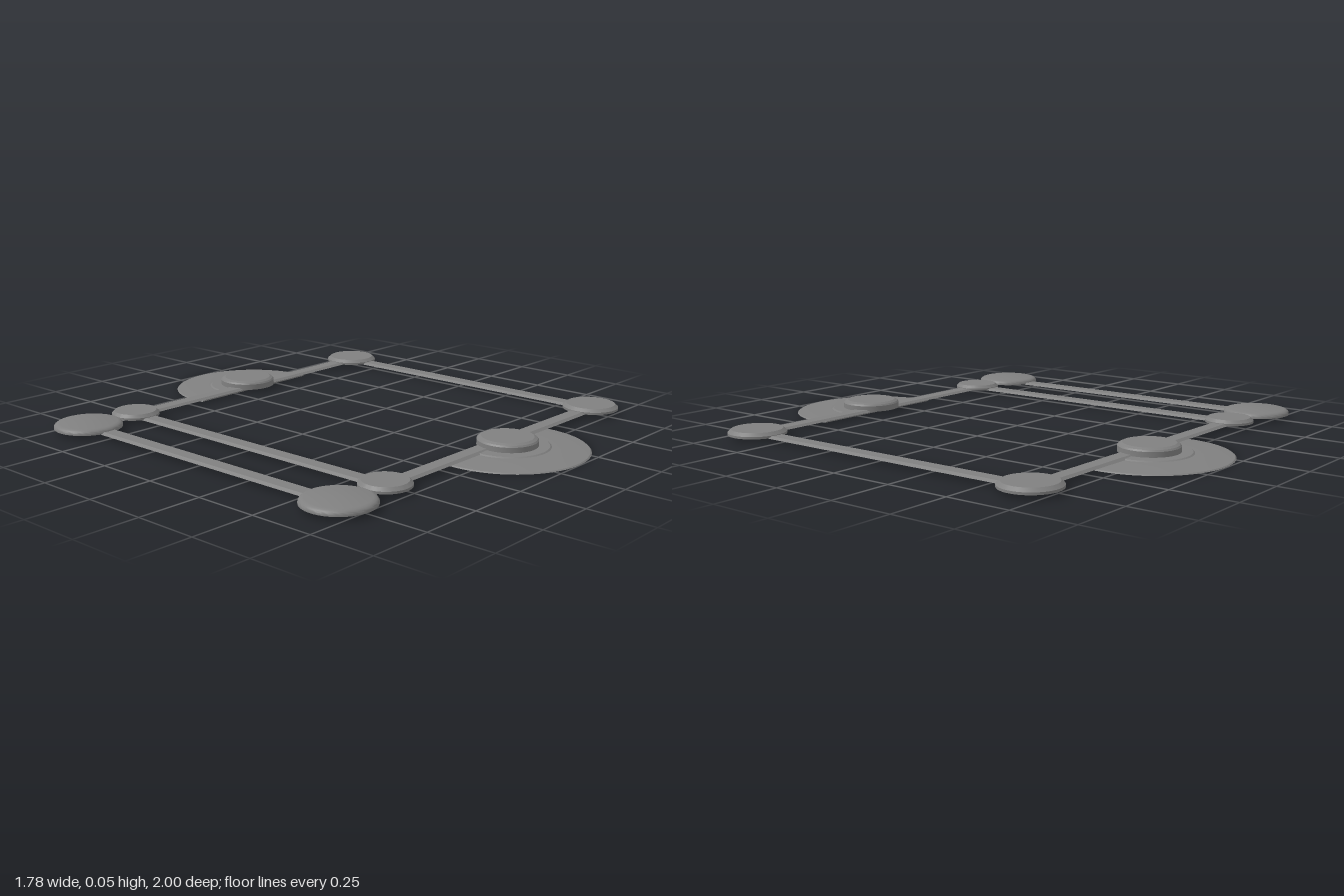
import * as THREE from 'three';
import { toCreasedNormals } from 'three/addons/utils/BufferGeometryUtils.js';

const steel = new THREE.MeshStandardMaterial({ color: 0x808080, side: THREE.DoubleSide });
steel.name = 'steel grey';

const LEFT = 0.778, RIGHT = -0.762, INNER = -0.53; // columns in x
const BACK = -0.66, FRONT = 0.65; // rows in z

// Turned open shell; profile runs from the lower rim up to the centre.
function turned(name, profile, x, z, crease = 0.25) {
  const lathe = new THREE.LatheGeometry(profile.map(([r, y]) => new THREE.Vector2(r, y)), 64);
  const mesh = new THREE.Mesh(toCreasedNormals(lathe, crease), steel);
  mesh.name = name;
  mesh.position.set(x, 0, z);
  return mesh;
}

// Bevelled channel bar, lying along x or z and open underneath.
function bar(name, length, x, z, alongZ) {
  const plane = new THREE.PlaneGeometry(0.074, length, 3, 1).rotateX(-Math.PI / 2);
  const p = plane.attributes.position;
  for (let i = 0; i < p.count; i++) {
    const outer = Math.abs(p.getX(i)) > 0.03;
    p.setX(i, Math.sign(p.getX(i)) * (outer ? 0.037 : 0.025));
    p.setY(i, outer ? 0.013 : 0.021);
  }
  const geometry = plane.toNonIndexed();
  geometry.computeVertexNormals();
  const mesh = new THREE.Mesh(geometry, steel);
  mesh.name = name;
  mesh.position.set(x, 0, z);
  if (!alongZ) mesh.rotation.y = Math.PI / 2;
  return mesh;
}

// Stepped shallow disc, cut straight along the side facing the frame.
function halfDisc(name, x, z, facing) {
  const profile = [
    [0.313, 0], [0.308, 0.004], [0.235, 0.011], [0.168, 0.012],
    [0.162, 0.016], [0.115, 0.017], [0, 0.017],
  ].map(([r, y]) => new THREE.Vector2(r, y));
  const lathe = new THREE.LatheGeometry(profile, 128);
  const p = lathe.attributes.position;
  for (let i = 0; i < p.count; i++) p.setZ(i, Math.max(p.getZ(i), -0.04));
  const mesh = new THREE.Mesh(toCreasedNormals(lathe, 0.15), steel);
  mesh.name = name;
  mesh.position.set(x, 0, z);
  if (facing < 0) mesh.rotation.y = Math.PI;
  return mesh;
}

// Flat cap with a bevelled rim
const cap = (r, bevel) => [[r, 0.014], [r, 0.023], [r - bevel, 0.035], [0, 0.035]];
// Wide cap with a rounded rim
const roundCap = [[0.132, 0.014], [0.132, 0.022], [0.129, 0.027], [0.122, 0.032], [0.112, 0.035], [0, 0.036]];
// Taller cap in the middle of each long bar
const tallCap = [[0.115, 0.014], [0.115, 0.037], [0.11, 0.043], [0.098, 0.049], [0, 0.049]];

export function createModel() {
  const model = new THREE.Group();
  model.name = 'frame';

  // Cross bars running front to back
  const midZ = (FRONT + BACK) / 2, depth = FRONT - BACK;
  for (const [name, x] of [['leftBar', LEFT], ['rightBar', RIGHT], ['innerBar', INNER]]) {
    model.add(bar(name, depth + 0.07, x, midZ, true));
  }

  // Each end: long bar, caps and the half disc
  for (const [end, z, side] of [['front', FRONT, 1], ['back', BACK, -1]]) {
    model.add(
      bar(end + 'Bar', LEFT - RIGHT + 0.07, (LEFT + RIGHT) / 2, z, false),
      turned(end + 'LeftCap', cap(0.112, 0.014), LEFT, z),
      turned(end + 'RightCap', roundCap, RIGHT, z, 0.7),
      turned(end + 'InnerCap', cap(0.095, 0.012), INNER, z),
      turned(end + 'MiddleCap', tallCap, 0.122, side * 0.692),
      halfDisc(end + 'HalfDisc', 0.122, side * 0.685, side),
    );
  }
  return model;
}
